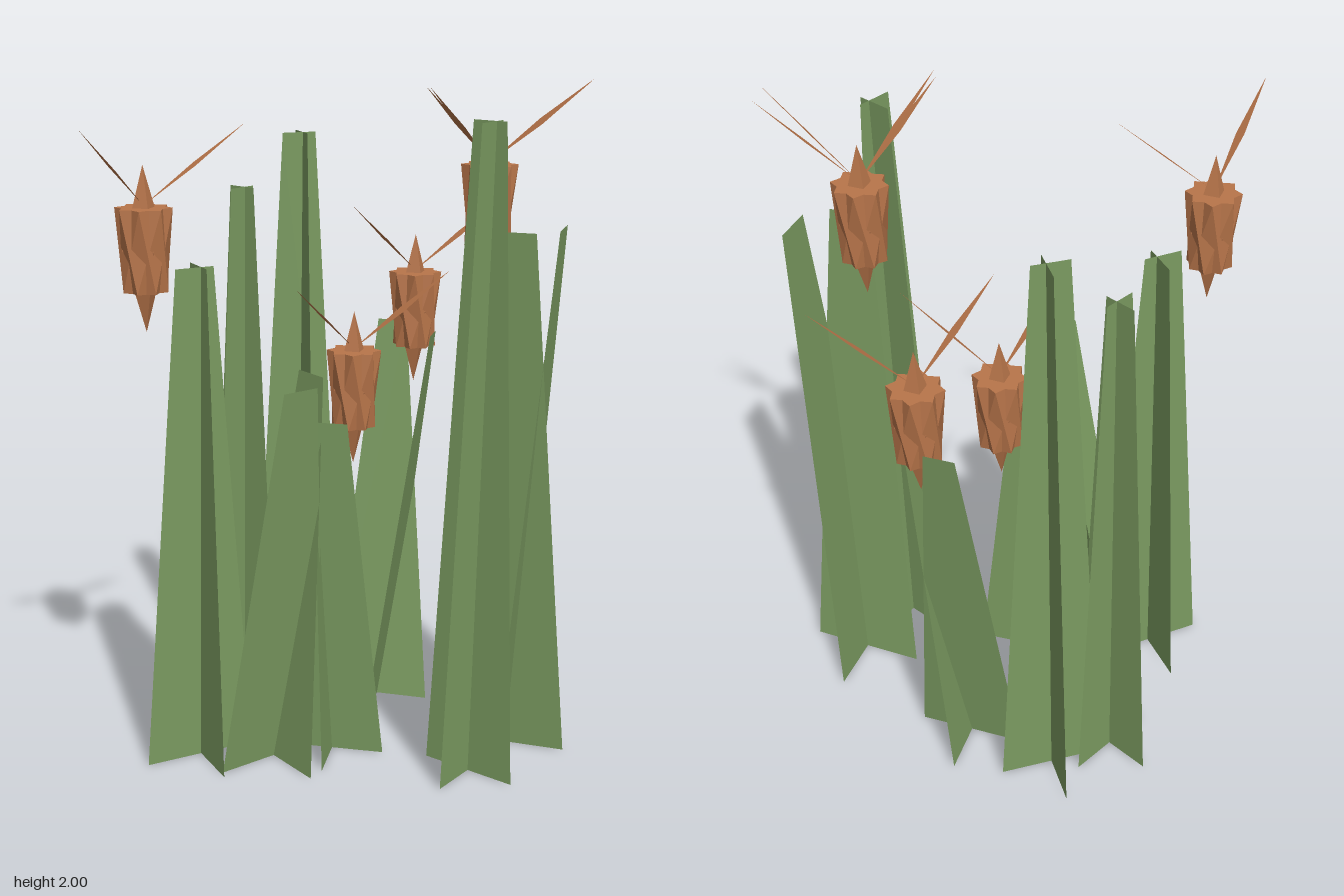
import * as THREE from 'three';

const green = new THREE.MeshStandardMaterial({ color: 0x7a9a60, side: THREE.DoubleSide, flatShading: true });
const brown = new THREE.MeshStandardMaterial({ color: 0xb8754a, side: THREE.DoubleSide, flatShading: true });

// Flat four-cornered sheet
function quad(a, b, c, d) {
  const g = new THREE.BufferGeometry().setFromPoints([a, b, c, d]);
  g.setIndex([0, 1, 2, 0, 2, 3]);
  g.computeVertexNormals();
  return g;
}

function add(parent, name, geometry, material) {
  const mesh = new THREE.Mesh(geometry, material);
  mesh.name = name;
  parent.add(mesh);
  return mesh;
}

// Two tapered leaves crossing at the base, each leaning along its own normal
function leafPair([x, z, height, base, top, degrees, lean]) {
  const tuft = new THREE.Group();
  tuft.name = 'leafTuft';
  for (let i = 0; i < 2; i++) {
    const a = THREE.MathUtils.degToRad(degrees + 90 * i);
    const n = new THREE.Vector3(Math.cos(a), 0, Math.sin(a));
    const along = new THREE.Vector3(-n.z, 0, n.x);
    const corner = (s, w, y, l) => new THREE.Vector3(x, y, z).addScaledVector(n, l).addScaledVector(along, s * w / 2);
    add(tuft, 'leaf', quad(corner(-1, base, 0, 0), corner(1, base, 0, 0),
      corner(1, top, height, lean), corner(-1, top, height, lean)), green);
  }
  return tuft;
}

// Square frustum whose lower rim is turned against the upper one
function twistedFrustum(rTop, rBottom, height, turn, twist) {
  const g = new THREE.CylinderGeometry(rTop, rBottom, height, 4, 1);
  const p = g.attributes.position, v = new THREE.Vector3(), up = new THREE.Vector3(0, 1, 0);
  for (let i = 0; i < p.count; i++) {
    v.fromBufferAttribute(p, i);
    v.applyAxisAngle(up, turn + (v.y < 0 ? twist : 0));
    p.setXYZ(i, v.x, v.y, v.z);
  }
  g.computeVertexNormals();
  return g;
}

// Seed head: crossed husks, a long spindle and thin pointed bracts
function seedHead([x, y, z, bracts]) {
  const head = new THREE.Group();
  head.name = 'seedHead';
  head.position.set(x, y, z);
  for (let i = 0; i < 2; i++) {
    add(head, 'husk', twistedFrustum(0.08, 0.066, 0.23, 0.25 + i * Math.PI / 4, 0.6), brown);
  }
  add(head, 'spindle', new THREE.OctahedronGeometry(1), brown).scale.set(0.065, 0.23, 0.065);
  const start = new THREE.Vector3(0, 0.12, 0);
  for (const tip of bracts) {
    const end = new THREE.Vector3(...tip).sub(head.position);
    const d = end.clone().sub(start).normalize();
    const side = new THREE.Vector3(0, 0, 1).addScaledVector(d, -d.z).setLength(0.016);
    const mid = start.clone().lerp(end, 0.5);
    add(head, 'bract', quad(start, mid.clone().sub(side), end, mid.clone().add(side)), brown);
  }
  return head;
}

export function createModel() {
  const model = new THREE.Group();
  model.name = 'reedCluster';

  // x, z, height, base width, top width, lean angle, lean distance
  const tufts = [
    [-0.34, -0.035, 1.49, 0.34, 0.115, 0, 0.02],
    [-0.03, -0.39, 1.645, 0.28, 0.095, -22, 0.012],
    [0.165, -0.385, 1.8, 0.31, 0.105, 7, 0.012],
    [0.32, 0.42, 1.9, 0.295, 0.105, -25, 0.02],
    [0.52, 0.315, 1.59, 0.355, 0.12, 45, 0.115],
    [0.34, -0.165, 1.21, 0.32, 0.09, -48, 0.16],
    [-0.15, 0.075, 1.165, 0.37, 0.115, -10, 0.14],
    [0.03, 0.11, 1.04, 0.31, 0.1, 129, 0.05],
  ];
  for (const t of tufts) model.add(leafPair(t));

  // x, centre height, z, bract tips
  const heads = [
    [-0.48, 1.55, -0.03, [[-0.71, 1.9, 0.12], [-0.22, 1.89, 0.07]]],
    [0.155, 1.09, 0, [[-0.09, 1.43, 0.1], [0.38, 1.45, 0.16]]],
    [0.465, 1.265, -0.18, [[0.2, 1.61, -0.09], [0.71, 1.61, -0.07]]],
    [0.445, 1.645, 0.25, [[0.18, 1.99, 0.36], [0.19, 1.99, 0.32], [0.68, 1.99, 0.39], [0.64, 2, 0.45]]],
  ];
  for (const h of heads) model.add(seedHead(h));
  return model;
}
